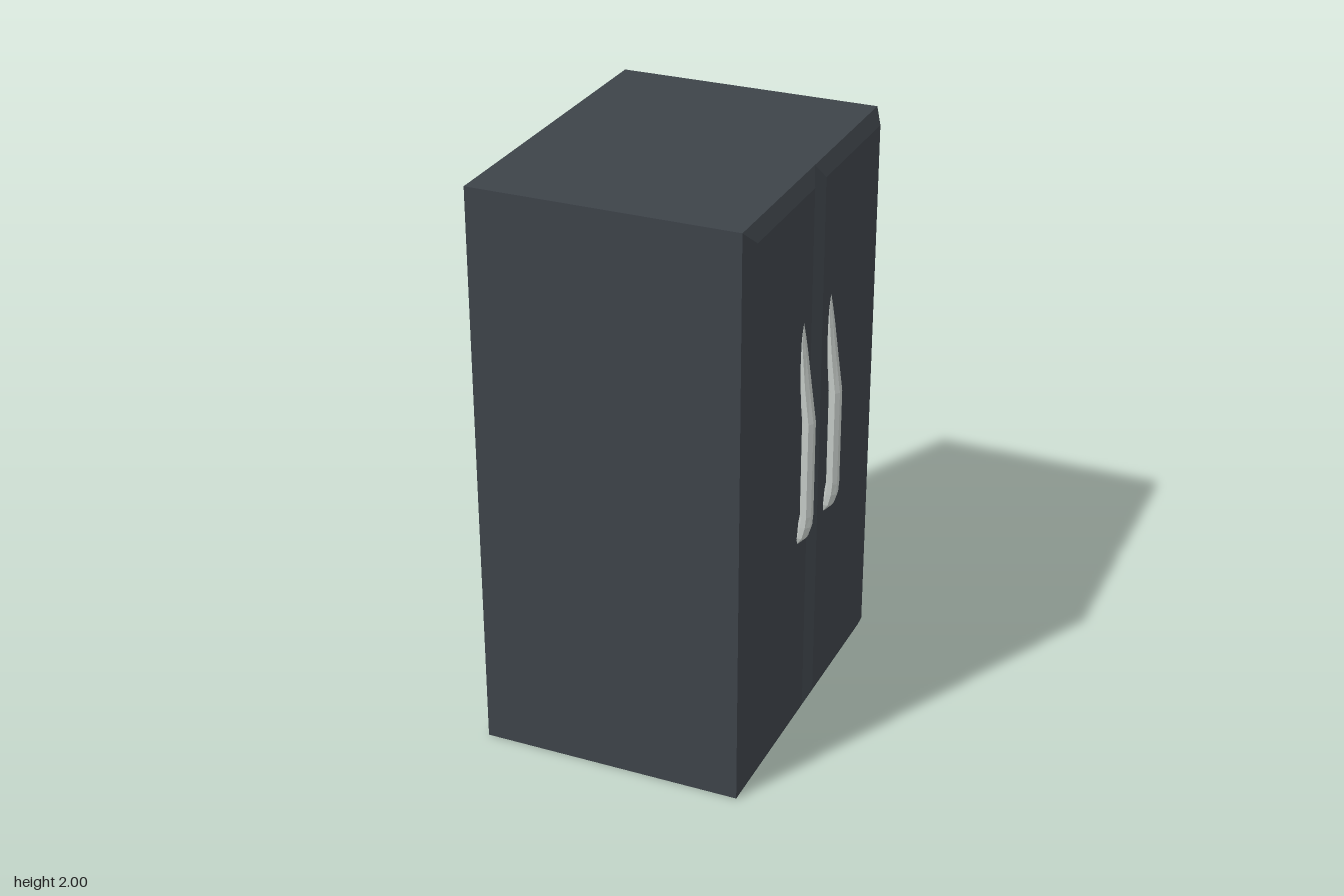
import * as THREE from 'three';

const slate = new THREE.MeshStandardMaterial({ name: 'dark slate', color: 0x3d4349 });
const metal = new THREE.MeshStandardMaterial({ name: 'pale metal', color: 0xc4cac6, flatShading: true });

// Shallow door panel on the +x side, its outer face inset to form bevels
function makeDoor(z0, z1, inner0, inner1) {
  const box = new THREE.BoxGeometry(1, 1, 1).toNonIndexed();
  const p = box.attributes.position;
  for (let i = 0; i < p.count; i++) {
    const outer = p.getX(i) > 0;
    const high = p.getY(i) > 0;
    const far = p.getZ(i) > 0;
    const y = outer ? (high ? 1.95 : 0.055) : (high ? 2 : 0);
    const z = outer ? (far ? inner1 : inner0) : (far ? z1 : z0);
    p.setXYZ(i, outer ? 0.445 : 0.42, y, z);
  }
  box.computeVertexNormals();
  return new THREE.Mesh(box, slate);
}

// Handle: octagonal cross-sections [y, inner x, outer x, half width], bottom to top
const SECTIONS = [
  [0.73, 0.436, 0.447, 0.016],
  [0.757, 0.437, 0.473, 0.024],
  [0.80, 0.444, 0.486, 0.026],
  [0.84, 0.450, 0.489, 0.026],
  [1.18, 0.450, 0.489, 0.026],
  [1.30, 0.440, 0.473, 0.025],
  [1.42, 0.436, 0.458, 0.021],
  [1.47, 0.436, 0.451, 0.017],
  [1.52, 0.436, 0.445, 0.003],
];

function makeHandleGeometry() {
  const sides = 8;
  const pos = [];
  const index = [];
  for (const [y, x0, x1, w] of SECTIONS) {
    for (let k = 0; k < sides; k++) {
      const a = ((k + 0.5) / sides) * Math.PI * 2;
      const c = Math.cos(a) / Math.cos(Math.PI / 8);
      const s = Math.sin(a) / Math.cos(Math.PI / 8);
      pos.push((x0 + x1) / 2 + c * (x1 - x0) / 2, y, s * w);
    }
  }
  for (let r = 0; r < SECTIONS.length - 1; r++) {
    for (let k = 0; k < sides; k++) {
      const a = r * sides + k;
      const b = r * sides + (k + 1) % sides;
      index.push(a, a + sides, b, b, a + sides, b + sides);
    }
  }
  // End caps
  const top = (SECTIONS.length - 1) * sides;
  for (let k = 1; k < sides - 1; k++) {
    index.push(0, k, k + 1, top, top + k + 1, top + k);
  }
  const g = new THREE.BufferGeometry();
  g.setAttribute('position', new THREE.Float32BufferAttribute(pos, 3));
  g.setIndex(index);
  g.computeVertexNormals();
  return g;
}

export function createModel() {
  const model = new THREE.Group();
  model.name = 'doubleDoorFridge';

  // Cabinet
  const cabinet = new THREE.Mesh(new THREE.BoxGeometry(0.91, 2, 1.16), slate);
  cabinet.name = 'cabinet';
  cabinet.position.set(-0.035, 1, 0);
  model.add(cabinet);

  // Pair of bevelled doors meeting near the middle
  const nearDoor = makeDoor(-0.006, 0.58, 0.053, 0.522);
  nearDoor.name = 'nearDoor';
  const farDoor = makeDoor(-0.58, -0.006, -0.545, -0.045);
  farDoor.name = 'farDoor';
  model.add(nearDoor, farDoor);

  // One handle each side of the seam
  const handleGeometry = makeHandleGeometry();
  for (const [name, z] of [['nearHandle', 0.121], ['farHandle', -0.121]]) {
    const handle = new THREE.Mesh(handleGeometry, metal);
    handle.name = name;
    handle.position.z = z;
    model.add(handle);
  }
  return model;
}
